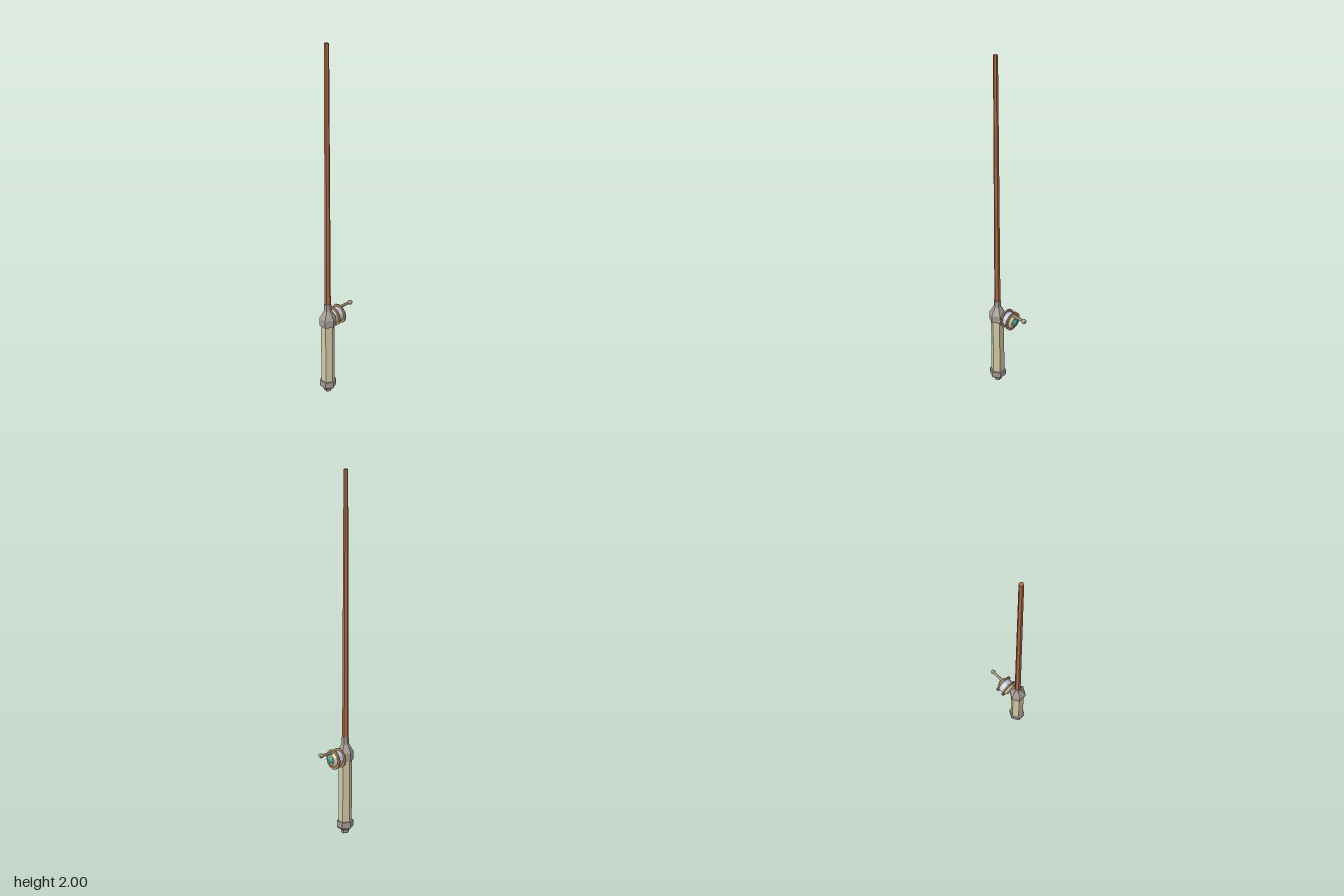
import * as THREE from 'three';

const mat = (name, color) => {
  const m = new THREE.MeshStandardMaterial({ color });
  m.name = name;
  m.flatShading = true;
  return m;
};

export function createModel() {
  const wood = mat('copper wood', 0xad6b49);
  const metal = mat('warm grey metal', 0xa59b95);
  const cream = mat('cream grip', 0xd0caa6);
  const bronze = mat('bronze', 0xb48c68);
  const line = mat('pale line', 0xc0c8d8);
  const teal = mat('teal gem', 0x45b8b8);

  // Lathe from [radius, height] pairs, faceted
  const turned = (name, points, sides, material) => {
    const geo = new THREE.LatheGeometry(points.map(([r, y]) => new THREE.Vector2(r, y)), sides);
    const mesh = new THREE.Mesh(geo, material);
    mesh.name = name;
    return mesh;
  };

  // Hexagonal rod, standing upright
  const rod = new THREE.Group();
  rod.name = 'rod';
  rod.position.set(-0.078, 0, 0.012);
  rod.add(
    turned('shaft', [[0, 0.5], [0.0175, 0.5], [0.0125, 2], [0, 2]], 6, wood),
    turned('grip', [[0, 0.05], [0.038, 0.05], [0.038, 0.45], [0, 0.45]], 6, cream),
    turned('ferrule', [[0, 0.43], [0.047, 0.43], [0.047, 0.475], [0.021, 0.52], [0.0195, 0.56], [0, 0.56]], 6, metal),
    turned('buttCap', [[0, 0.025], [0.036, 0.025], [0.047, 0.036], [0.047, 0.072], [0, 0.072]], 6, metal),
    turned('buttKnob', [[0, 0], [0.02, 0], [0.024, 0.008], [0.024, 0.027], [0, 0.027]], 6, metal)
  );

  // Reel, turned around an axis pointing along +x
  const reel = new THREE.Group();
  reel.name = 'reel';
  reel.position.set(0, 0.455, -0.005);
  reel.rotation.z = -Math.PI / 2;
  reel.add(turned('spool', [[0, -0.02], [0.043, -0.02], [0.043, 0.02], [0, 0.02]], 12, line));
  for (const s of [-1, 1]) {
    const flange = turned('flange', [[0, -0.004], [0.056, -0.004], [0.056, 0.004], [0, 0.004]], 12, bronze);
    flange.position.y = 0.0205 * s;
    const cap = turned('sideCap', [[0.043, 0], [0.043, 0.003], [0.028, 0.015], [0, 0.015]], 12, cream);
    cap.position.y = 0.0235 * s;
    if (s < 0) cap.rotation.x = Math.PI;
    reel.add(flange, cap);
  }
  const gem = turned('gem', [[0.024, 0.036], [0.021, 0.041], [0.011, 0.046], [0, 0.046]], 5, teal);
  // Crank handle near the top of the outer side
  const handle = turned('handle', [[0, 0.024], [0.008, 0.024], [0.008, 0.094], [0.014, 0.1],
    [0.014, 0.106], [0.01, 0.116], [0, 0.116]], 8, cream);
  handle.position.x = -0.039;
  reel.add(gem, handle);

  const model = new THREE.Group();
  model.name = 'fishingRod';
  model.add(rod, reel);
  return model;
}
